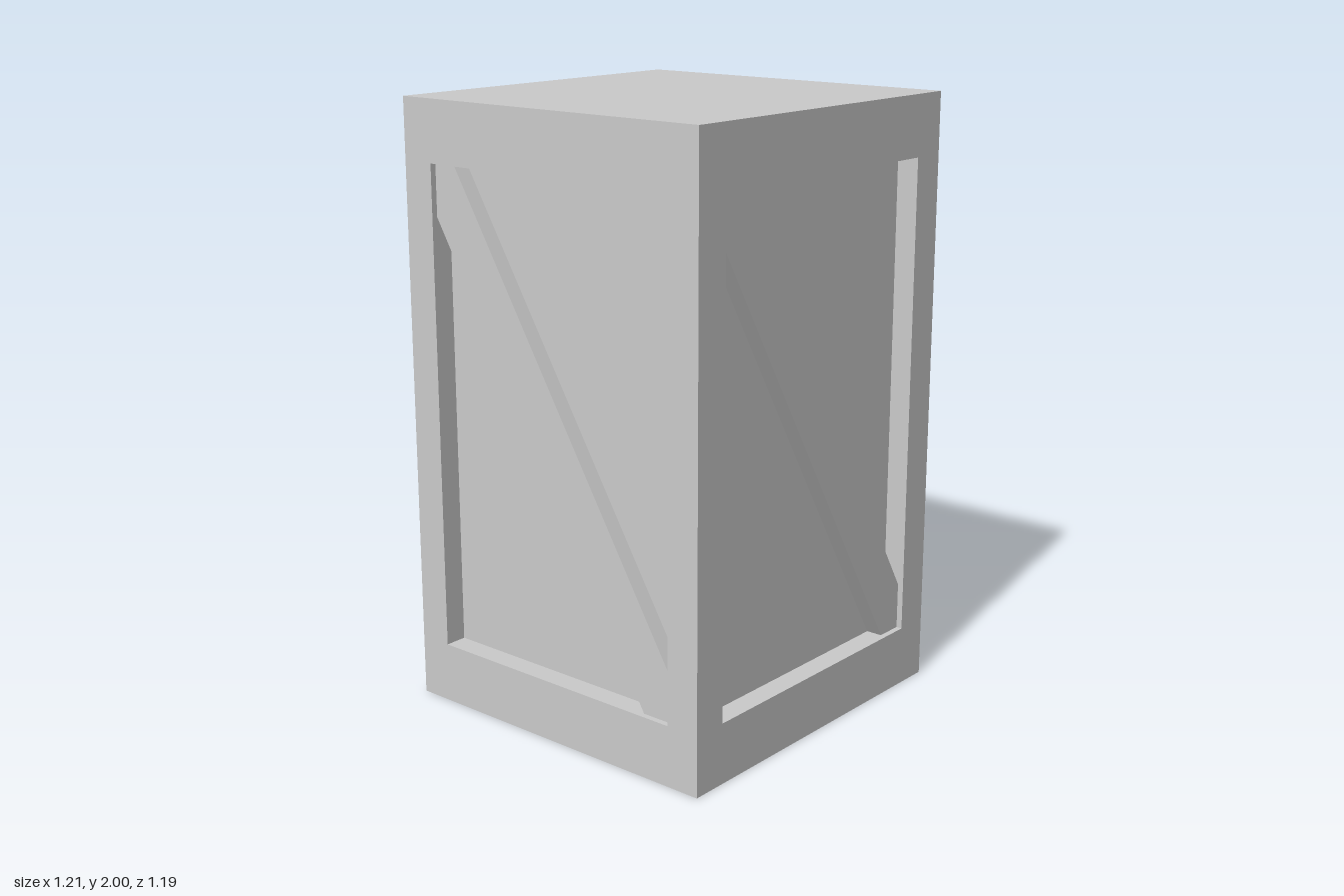
import * as THREE from 'three';

const HX = 0.605, HZ = 0.595;      // half width and half depth
const LOW = 0.2, HIGH = 1.8;       // bottom and top of the recessed panels
const OX = 0.485, OZ = 0.48;       // half widths of the panel openings
const RECESS = 0.075, BRACE_RECESS = 0.02;

const material = new THREE.MeshStandardMaterial({ color: 0xcccccc, flatShading: true });

function box(name, w, h, d, x, y, z) {
  const mesh = new THREE.Mesh(new THREE.BoxGeometry(w, h, d), material);
  mesh.name = name;
  mesh.position.set(x, y, z);
  return mesh;
}

// Diagonal plank trimmed to the opening; the four values are where its edges meet the opening
function brace(name, half, face, turn, { lowerLeft, lowerRight, upperLeft, upperRight }) {
  const shape = new THREE.Shape([
    [-half, lowerLeft], [lowerRight, LOW], [half, LOW],
    [half, upperRight], [upperLeft, HIGH], [-half, HIGH],
  ].map(([x, y]) => new THREE.Vector2(x, y)));
  const depth = RECESS - BRACE_RECESS;
  const geometry = new THREE.ExtrudeGeometry(shape, { depth, bevelEnabled: false });
  geometry.translate(0, 0, face - RECESS);
  const mesh = new THREE.Mesh(geometry, material);
  mesh.name = name;
  mesh.rotation.y = turn;
  return mesh;
}

export function createModel() {
  const crate = new THREE.Group();
  crate.name = 'crate';

  // Solid bottom and top
  crate.add(box('bottomFrame', HX * 2, LOW, HZ * 2, 0, LOW / 2, 0));
  crate.add(box('topFrame', HX * 2, 2 - HIGH, HZ * 2, 0, (2 + HIGH) / 2, 0));

  // Corner posts
  for (const sx of [-1, 1]) {
    for (const sz of [-1, 1]) {
      crate.add(box('cornerPost', HX - OX, HIGH - LOW, HZ - OZ,
        sx * (HX + OX) / 2, 1, sz * (HZ + OZ) / 2));
    }
  }

  // Core whose sides are the recessed panels
  crate.add(box('panels', (HX - RECESS) * 2, HIGH - LOW, (HZ - RECESS) * 2, 0, 1, 0));

  // Diagonal braces, one on each side
  const wide = { lowerLeft: 1.67, lowerRight: 0.39, upperLeft: -0.375, upperRight: 0.355 };
  crate.add(brace('frontBrace', OX, HZ, 0, wide));
  crate.add(brace('backBrace', OX, HZ, Math.PI, wide));
  crate.add(brace('leftBrace', OZ, HX, Math.PI / 2,
    { lowerLeft: 1.7, lowerRight: 0.41, upperLeft: -0.355, upperRight: 0.41 }));
  crate.add(brace('rightBrace', OZ, HX, -Math.PI / 2,
    { lowerLeft: 1.63, lowerRight: 0.37, upperLeft: -0.397, upperRight: 0.34 }));

  return crate;
}
